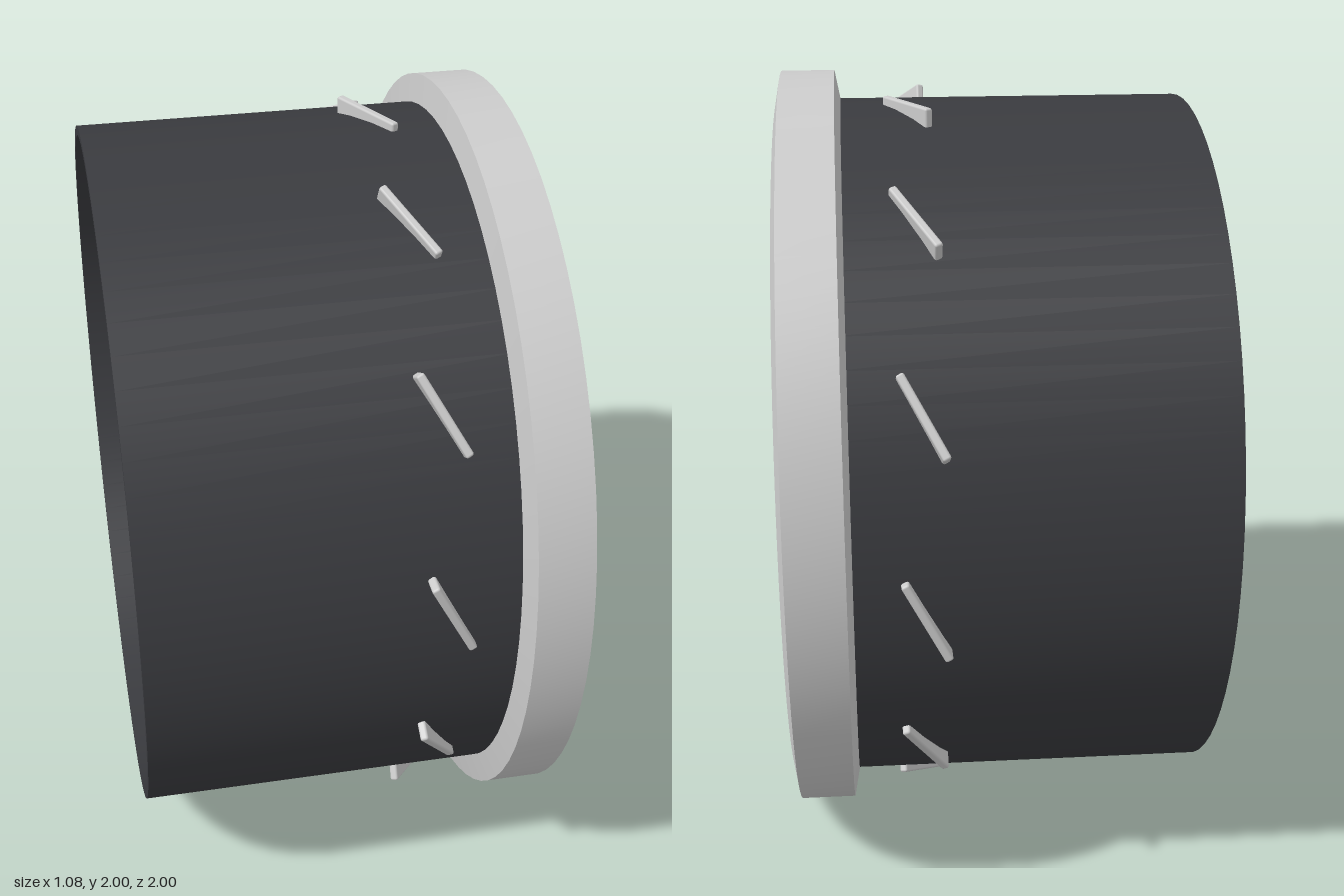
import * as THREE from 'three';
import { toCreasedNormals } from 'three/addons/utils/BufferGeometryUtils.js';
import { RoundedBoxGeometry } from 'three/addons/geometries/RoundedBoxGeometry.js';

const SEGMENTS = 72;
const BLADES = 12;

const material = (color) => new THREE.MeshStandardMaterial({ color });

// Revolves a closed [radius, x] profile around the x axis
function revolve(name, profile, mat) {
  const points = [...profile, profile[0]].map(([r, x]) => new THREE.Vector2(r, x));
  const lathe = new THREE.LatheGeometry(points, SEGMENTS).rotateZ(-Math.PI / 2);
  const mesh = new THREE.Mesh(toCreasedNormals(lathe, 0.15), mat);
  mesh.name = name;
  return mesh;
}

// Solid round part along x, from x0 (radius r0) to x1 (radius r1)
function round(name, x0, r0, x1, r1, mat) {
  const geometry = new THREE.CylinderGeometry(r1, r0, x1 - x0, SEGMENTS).rotateZ(-Math.PI / 2);
  const mesh = new THREE.Mesh(geometry, mat);
  mesh.name = name;
  mesh.position.x = (x0 + x1) / 2;
  return mesh;
}

export function createModel() {
  const model = new THREE.Group();
  model.name = 'ductedFan';
  const fan = new THREE.Group();
  fan.name = 'fan';
  fan.position.y = 1;
  model.add(fan);

  const grey = material(0xcccccc);
  const dark = material(0x3a3b3f);
  const hubGrey = material(0x6b6e74);

  // Open duct with a thin wall
  fan.add(revolve('duct', [[0.925, -0.538], [0.925, 0.4], [0.9, 0.4], [0.9, -0.538]], dark));

  // Intake lip with slightly sloping faces
  fan.add(revolve('intakeRing',
    [[0.925, 0.37], [1, 0.384], [1, 0.524], [0.925, 0.538]], grey));

  // Bulkhead disc, leaving a hairline gap to the duct
  fan.add(round('backDisc', 0.04, 0.892, 0.08, 0.892, dark));

  // Tapered hub
  fan.add(round('hubCone', 0.08, 0.29, 0.51, 0.1, hubGrey));

  // Pitched blades, offset from the radial line, tips piercing the duct
  const bladeGeometry = new RoundedBoxGeometry(0.021, 0.7, 0.225, 2, 0.006);
  for (let i = 0; i < BLADES; i++) {
    const arm = new THREE.Group();
    arm.name = `bladeArm${i + 1}`;
    arm.rotation.x = (i / BLADES) * Math.PI * 2;
    const blade = new THREE.Mesh(bladeGeometry, grey);
    blade.name = 'blade';
    blade.position.set(0.2, 0.596, -0.113);
    blade.rotation.y = 0.48;
    arm.add(blade);
    fan.add(arm);
  }

  return model;
}
